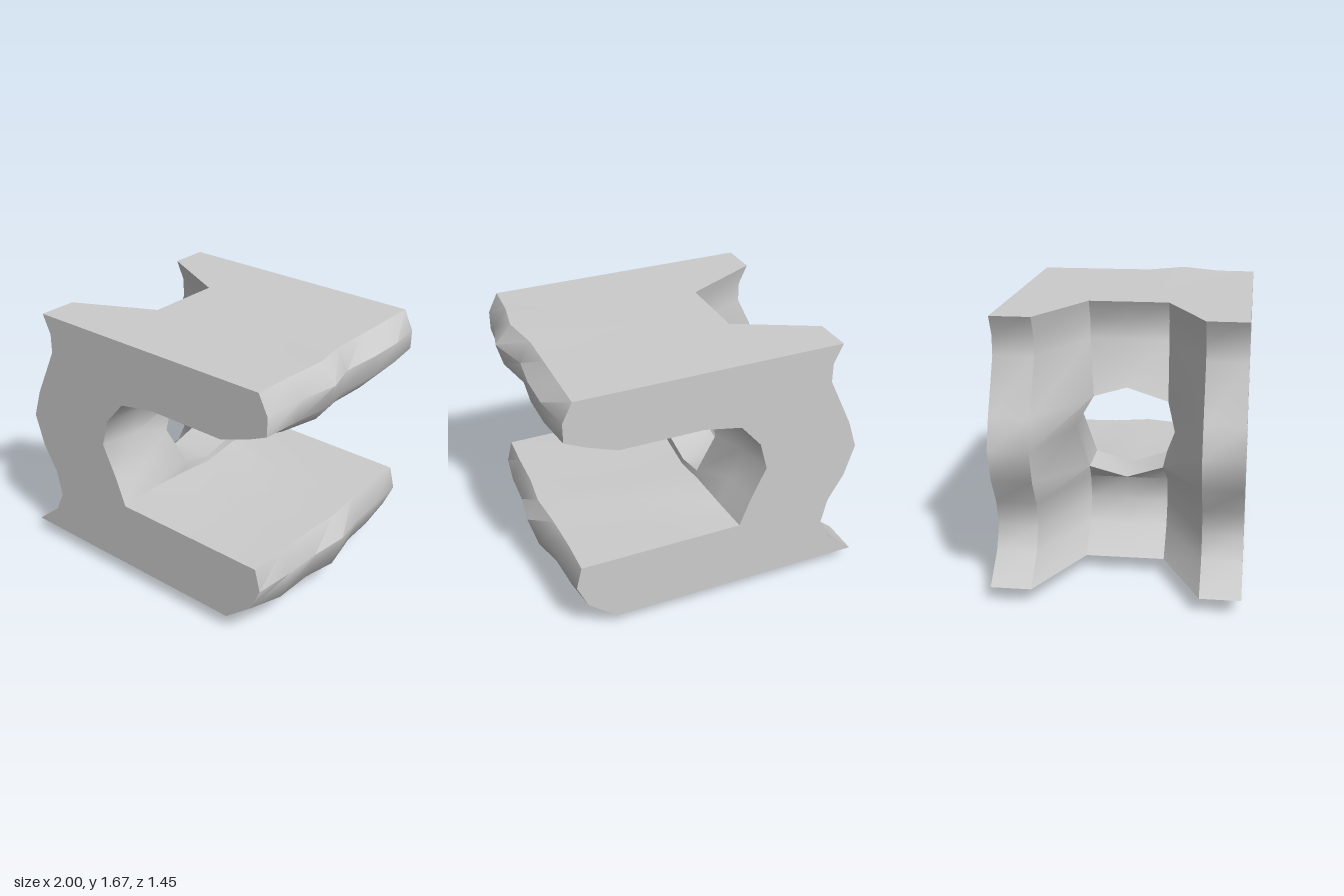
import * as THREE from 'three';
import { toCreasedNormals } from 'three/addons/utils/BufferGeometryUtils.js';

// Stations along the depth of the block
const Z = [0.725, 0.485, 0.24, 0, -0.24, -0.485, -0.725];

// C-shaped end profile, anticlockwise from the top rear corner
const PROFILE = [
  // wavy rear
  [-0.79, 1.66], [-0.735, 1.54], [-0.735, 1.42], [-0.89, 1.1], [-0.95, 0.92],
  [-0.89, 0.72], [-0.79, 0.55], [-0.755, 0.39], [-0.82, 0.25], [-1, 0.1],
  // underside and lower lip
  [0.2, 0.1], [0.64, 0.1], [0.82, 0.25], [0.885, 0.4], [0.85, 0.54],
  // cavity
  [0.3, 0.54], [-0.17, 0.54], [-0.24, 0.72], [-0.335, 0.92], [-0.285, 1.1],
  [-0.155, 1.25], [0.08, 1.295], [0.6, 1.295],
  // upper lip and top
  [0.78, 1.36], [0.91, 1.42], [0.91, 1.54], [0.85, 1.66], [0.4, 1.66],
];
const REAR_COUNT = 10;
const NOTCH_DEPTH = 0.49;

// Uneven lips and cavity: x, y at the five inner stations, by profile point
const UNEVEN = {
  11: [[0.66, 0.06], [0.66, 0.05], [0.64, 0.005], [0.7, 0.07], [0.67, 0.04]],
  12: [[0.86, 0.21], [0.87, 0.22], [0.9, 0.2], [0.86, 0.23], [0.84, 0.22]],
  13: [[0.92, 0.41], [0.93, 0.41], [0.965, 0.42], [0.92, 0.41], [0.9, 0.4]],
  14: [[0.86, 0.545], [0.86, 0.54], [0.885, 0.55], [0.86, 0.54], [0.85, 0.54]],
  16: [[-0.15, 0.57], [-0.12, 0.58], [-0.11, 0.56], [-0.11, 0.595], [-0.15, 0.55]],
  17: [[-0.22, 0.72], [-0.11, 0.66], [-0.12, 0.59], [-0.11, 0.65], [-0.22, 0.72]],
  18: [[-0.29, 0.92], [-0.2, 0.89], [-0.2, 0.9], [-0.2, 0.93], [-0.29, 0.92]],
  19: [[-0.25, 1.1], [-0.19, 1.08], [-0.16, 1.16], [-0.19, 1.1], [-0.25, 1.1]],
  20: [[-0.13, 1.24], [-0.1, 1.21], [-0.1, 1.24], [-0.11, 1.24], [-0.14, 1.25]],
  21: [[0.1, 1.28], [0.1, 1.255], [0.1, 1.27], [0.1, 1.27], [0.08, 1.29]],
  22: [[0.6, 1.29], [0.55, 1.28], [0.6, 1.29], [0.6, 1.285], [0.6, 1.29]],
  23: [[0.84, 1.33], [0.885, 1.32], [0.85, 1.32], [0.86, 1.32], [0.85, 1.33]],
  24: [[0.93, 1.42], [0.96, 1.42], [0.91, 1.41], [0.94, 1.42], [0.94, 1.42]],
  25: [[0.94, 1.55], [1, 1.56], [0.92, 1.54], [0.95, 1.55], [0.95, 1.55]],
  26: [[0.86, 1.66], [0.9, 1.675], [0.85, 1.66], [0.85, 1.66], [0.85, 1.66]],
};

// Window rim as [station, row, z, y], clockwise seen from the open side
const RIM = [
  [2, 0, 0.25, 1.08], [3, 0, 0, 1.16], [4, 0, -0.2, 1.1], [4, 1, -0.3, 0.93],
  [4, 2, -0.23, 0.65], [3, 2, 0, 0.59], [2, 2, 0.22, 0.66], [2, 1, 0.3, 0.89],
];
const rearRow = (row) => 3 + row;
const cavityRow = (row) => 19 - row;

function buildSections() {
  const sections = Z.map((z, s) => PROFILE.map(([x, y], i) => {
    const inner = s > 0 && s < 6;
    if (inner && UNEVEN[i]) [x, y] = UNEVEN[i][s - 1];
    // Notch in the rear, with slanted side walls
    if (i < REAR_COUNT && s >= 2 && s <= 4) x += NOTCH_DEPTH;
    return new THREE.Vector3(x, y, z);
  }));
  // Pull the grid onto the window rim on both faces of the web
  for (const [s, row, z, y] of RIM) {
    sections[s][cavityRow(row)].z = z;
    const rear = sections[s][rearRow(row)];
    rear.set(rear.x, y, z);
  }
  return sections;
}

function bracketGeometry() {
  const sections = buildSections();
  const n = PROFILE.length;
  const positions = [];
  const tri = (...points) => points.forEach((p) => positions.push(p.x, p.y, p.z));
  const quad = (a, b, c, d) => { tri(a, b, c); tri(a, c, d); };

  // Outer skin between neighbouring sections, leaving the window open
  for (let s = 0; s < Z.length - 1; s++) {
    for (let i = 0; i < n; i++) {
      const isWindow = (s === 2 || s === 3) && [3, 4, 17, 18].includes(i);
      if (isWindow) continue;
      const j = (i + 1) % n;
      const [near, far] = [sections[s], sections[s + 1]];
      quad(near[i], far[i], far[j], near[j]);
    }
  }

  // Walls of the window through the web
  RIM.forEach(([s, row], k) => {
    const [s2, row2] = RIM[(k + 1) % RIM.length];
    quad(sections[s][cavityRow(row)], sections[s][rearRow(row)],
      sections[s2][rearRow(row2)], sections[s2][cavityRow(row2)]);
  });

  // Flat end faces
  const outline = PROFILE.map(([x, y]) => new THREE.Vector2(x, y));
  for (const [a, b, c] of THREE.ShapeUtils.triangulateShape(outline, [])) {
    const [front, back] = [sections[0], sections[Z.length - 1]];
    tri(front[a], front[b], front[c]);
    tri(back[c], back[b], back[a]);
  }

  const geometry = new THREE.BufferGeometry();
  geometry.setAttribute('position', new THREE.Float32BufferAttribute(positions, 3));
  return toCreasedNormals(geometry, 0.8);
}

export function createModel() {
  const group = new THREE.Group();
  group.name = 'notchedBracket';
  const material = new THREE.MeshStandardMaterial({ color: 0xcccccc });
  const bracket = new THREE.Mesh(bracketGeometry(), material);
  bracket.name = 'bracketBody';
  group.add(bracket);
  return group;
}
